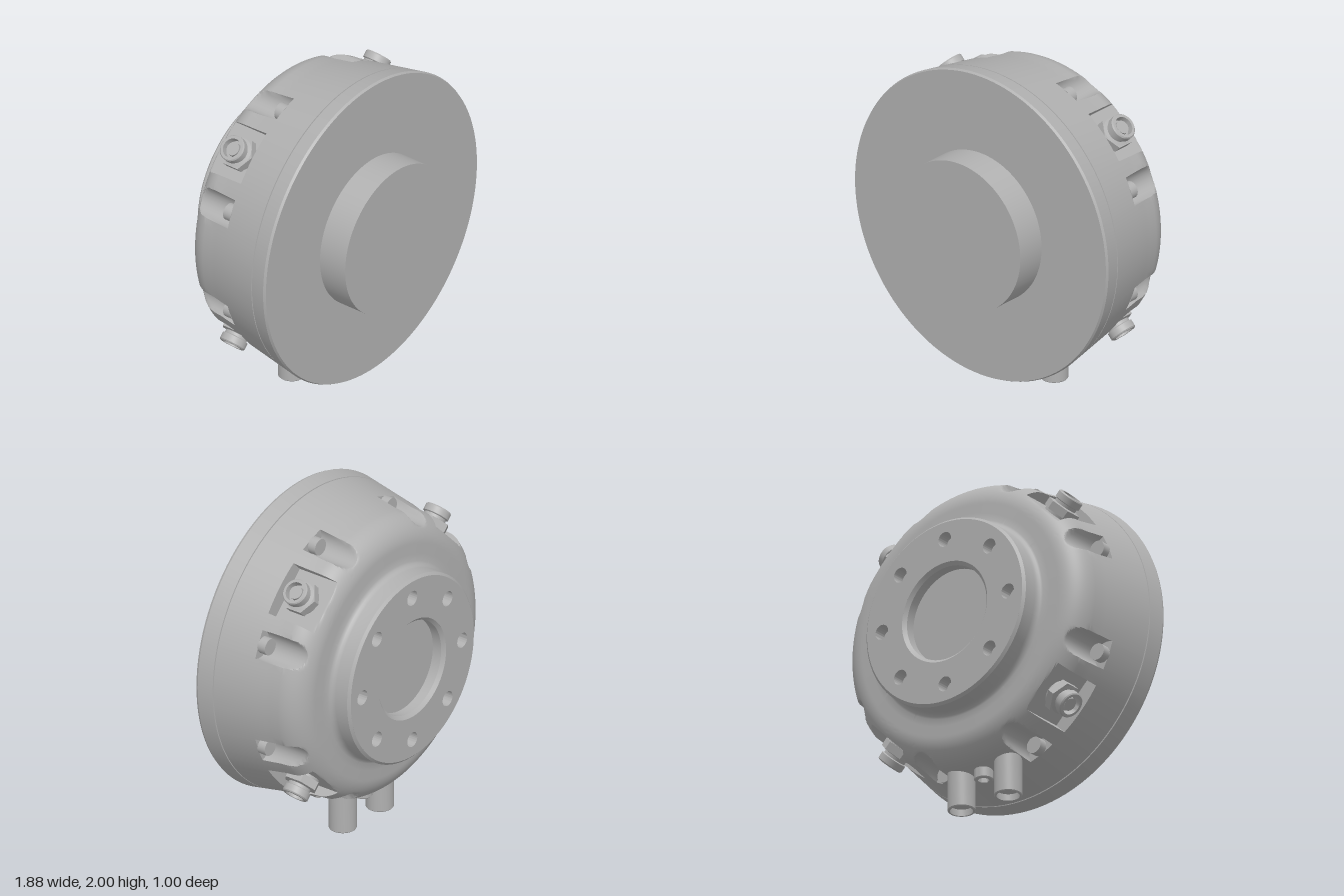
import * as THREE from 'three';
import { toCreasedNormals } from 'three/addons/utils/BufferGeometryUtils.js';

const grey = new THREE.MeshStandardMaterial({ color: 0xb0b0b0 });
grey.name = 'machined grey';

const rad = THREE.MathUtils.degToRad;
const slotAngles = Array.from({ length: 8 }, (_, i) => rad(22.5 + 45 * i));
const portAngles = Array.from({ length: 4 }, (_, i) => rad(45 + 90 * i));
const POCKET_FRONT = -0.04, PORT_Z = -0.17;

function add(parent, name, geometry) {
  const mesh = new THREE.Mesh(geometry, grey);
  mesh.name = name;
  parent.add(mesh);
  return mesh;
}

function lathe(points, segments = 40) {
  const g = new THREE.LatheGeometry(points.map(p => new THREE.Vector2(p[0], p[1])), segments);
  return toCreasedNormals(g, 0.5);
}

// Group whose local +y points outward from the axis at the given angle
function radialGroup(parent, name, angle, z, x = 0) {
  const g = new THREE.Group();
  g.name = name;
  g.rotation.z = angle - Math.PI / 2;
  g.position.set(x, 0, z);
  parent.add(g);
  return g;
}

// Cross-section around the axis: points {angle, u: sideways, v: carved radius}
function sectionPoints() {
  const pockets = [];
  for (const angle of slotAngles) {
    const h = 0.085, pts = [[-h, Infinity]];
    for (let i = 0; i <= 12; i++) {
      const a = Math.PI * i / 12;
      pts.push([-h * Math.cos(a), 0.87 - h * Math.sin(a)]);
    }
    pts.push([h, Infinity]);
    pockets.push({ angle, half: h, pts });
  }
  for (const angle of portAngles) {
    const h = 0.16, pts = [[-h, Infinity]];
    for (let i = 0; i <= 10; i++) pts.push([-h + 2 * h * i / 10, 0.785]);
    pts.push([h, Infinity]);
    pockets.push({ angle, half: h, pts });
  }
  pockets.sort((a, b) => a.angle - b.angle);
  const out = [];
  pockets.forEach((p, i) => {
    for (const [u, v] of p.pts) out.push({ angle: p.angle, u, v });
    // Plain wall up to the next pocket
    const next = pockets[(i + 1) % pockets.length];
    const from = p.angle + Math.asin(p.half / 0.85);
    let to = next.angle - Math.asin(next.half / 0.85);
    if (to < from) to += Math.PI * 2;
    const n = Math.max(2, Math.ceil((to - from) / 0.05));
    for (let k = 1; k < n; k++) out.push({ angle: from + (to - from) * k / n, u: 0, v: Infinity });
  });
  return out;
}

// Bell-shaped housing, built ring by ring from front to back
function housingGeometry() {
  const taper = z => 0.94 - (0.3 - z) * 0.173;
  const rings = [[0, 0.315], [0.933, 0.315], [0.94, 0.3],
    [taper(0.205), 0.205], [taper(0.205) - 0.008, 0.204], [taper(0.2) - 0.008, 0.199], [taper(0.198), 0.198],
    [taper(POCKET_FRONT), POCKET_FRONT], [taper(POCKET_FRONT), POCKET_FRONT, true]];
  for (const z of [-0.08, -0.12, -0.16]) rings.push([taper(z), z, true]);
  for (let i = 0; i <= 20; i++) {
    const a = rad(8 + 80 * i / 20);
    rings.push([0.69 + 0.167 * Math.cos(a), -0.19 - 0.167 * Math.sin(a), true]);
  }
  rings.push([0.64, -0.361]);
  for (let i = 1; i <= 5; i++) {
    const a = rad(90 * i / 5);
    rings.push([0.61 - 0.04 * Math.sin(a), -0.402 + 0.04 * Math.cos(a)]);
  }
  rings.push([0.57, -0.485], [0.555, -0.5]);

  const section = sectionPoints(), n = section.length, pos = [], index = [];
  for (const [r, z, carved] of rings) {
    for (const { angle, u, v } of section) {
      const uu = r < 0.2 ? 0 : u;
      const skin = Math.sqrt(r * r - uu * uu);
      const vv = carved ? Math.min(v, skin) : skin;
      const c = Math.cos(angle), s = Math.sin(angle);
      pos.push(c * vv - s * uu, s * vv + c * uu, z);
    }
  }
  for (let i = 0; i < rings.length - 1; i++) {
    for (let j = 0; j < n; j++) {
      const k = (j + 1) % n;
      const a = i * n + j, b = i * n + k, c = a + n, d = b + n;
      index.push(a, c, b, b, c, d);
    }
  }
  const g = new THREE.BufferGeometry();
  g.setAttribute('position', new THREE.Float32BufferAttribute(pos, 3));
  g.setIndex(index);
  return toCreasedNormals(g, 0.5);
}

export function createModel() {
  const model = new THREE.Group();
  model.name = 'flangedHousing';
  const core = new THREE.Group();
  core.name = 'housingAssembly';
  core.position.y = 1.06;
  model.add(core);

  add(core, 'housing', housingGeometry());

  // Front boss
  const boss = new THREE.CylinderGeometry(0.455, 0.455, 0.19, 96);
  boss.rotateX(Math.PI / 2);
  add(core, 'frontBoss', boss).position.z = 0.405;

  // Rear flange face with eight bolt holes and a central bore
  const face = new THREE.Shape().absarc(0, 0, 0.555, 0, Math.PI * 2);
  face.holes.push(new THREE.Path().absarc(0, 0, 0.305, 0, Math.PI * 2, true));
  for (let i = 0; i < 8; i++) {
    const a = i * Math.PI / 4;
    face.holes.push(new THREE.Path().absarc(0.45 * Math.cos(a), 0.45 * Math.sin(a), 0.045, 0, Math.PI * 2, true));
  }
  const plate = new THREE.ExtrudeGeometry(face, { depth: 0.1, bevelEnabled: false, curveSegments: 48 });
  add(core, 'rearFlange', toCreasedNormals(plate, 0.5)).position.z = -0.5;
  const bore = lathe([[0.305, 0.5], [0.285, 0.48], [0.285, 0.415]], 64);
  bore.rotateX(-Math.PI / 2);
  add(core, 'boreLip', bore);
  const floor = add(core, 'boreFloor', new THREE.CircleGeometry(0.55, 64));
  floor.rotation.y = Math.PI;
  floor.position.z = -0.42;

  // Screw heads in the slots
  const screw = new THREE.CylinderGeometry(0.05, 0.05, 0.055, 28);
  screw.rotateX(Math.PI / 2);
  for (const a of slotAngles) {
    add(core, 'slotScrew', screw).position.set(0.836 * Math.cos(a), 0.836 * Math.sin(a), POCKET_FRONT - 0.024);
  }

  // Threaded ports: hex nut, neck and hollow collar
  const hex = toCreasedNormals(new THREE.CylinderGeometry(0.105, 0.105, 0.05, 6), 0.5);
  const collar = lathe([[0.088, 0.78], [0.088, 0.85], [0.068, 0.855], [0.068, 0.872], [0.078, 0.877],
    [0.078, 0.915], [0.072, 0.922], [0.056, 0.922], [0.056, 0.875], [0, 0.875]]);
  const pin = new THREE.CylinderGeometry(0.04, 0.04, 0.035, 24);
  for (const a of portAngles) {
    const port = radialGroup(core, 'port', a, PORT_Z);
    add(port, 'portNut', hex).position.y = 0.825;
    add(port, 'portCollar', collar);
    add(port, 'portPin', pin).position.y = 0.89;
  }

  // Two pipe stubs underneath, with a socket plug between them
  const pipe = lathe([[0.06, 0.76], [0.06, 0.82], [0.08, 0.825], [0.08, 1.055], [0.076, 1.06],
    [0.066, 1.06], [0.066, 1.02], [0, 1.02]]);
  for (const side of [-1, 1]) {
    add(radialGroup(core, 'pipe', -Math.PI / 2, -0.13, side * 0.167), 'pipeStub', pipe);
  }
  const plug = radialGroup(core, 'plug', -Math.PI / 2, -0.14);
  add(plug, 'plugBody', lathe([[0.055, 0.8], [0.055, 0.915], [0.05, 0.92], [0.032, 0.92]]));
  add(plug, 'plugSocket', lathe([[0.034, 0.92], [0.034, 0.88], [0, 0.88]], 6));

  return model;
}
